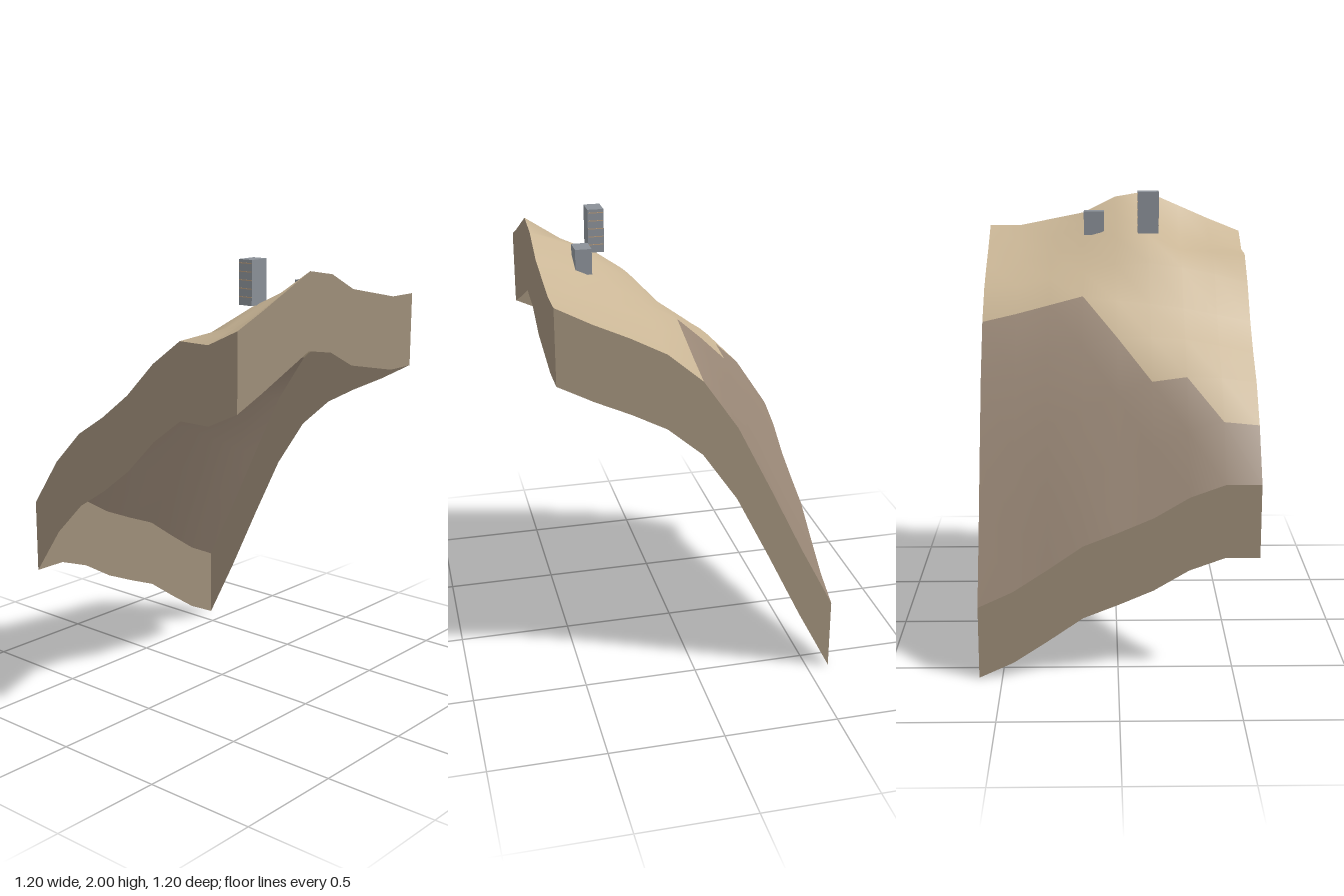
import * as THREE from 'three';

// Terrain heights: one row per z from back to front, nine columns from x = -0.6 to 0.6
const N = 8, STEP = 0.15, HALF = 0.6, SKIRT = 0.325;
const HEIGHTS = [
  [0.33, 0.62, 0.93, 1.23, 1.45, 1.58, 1.66, 1.73, 1.81],
  [0.40, 0.68, 0.98, 1.27, 1.485, 1.59, 1.67, 1.74, 1.81],
  [0.50, 0.77, 1.05, 1.32, 1.525, 1.62, 1.70, 1.77, 1.84],
  [0.605, 0.86, 1.12, 1.37, 1.565, 1.65, 1.75, 1.82, 1.87],
  [0.665, 0.92, 1.18, 1.41, 1.545, 1.68, 1.79, 1.89, 1.945],
  [0.73, 0.98, 1.245, 1.41, 1.53, 1.69, 1.80, 1.87, 1.97],
  [0.82, 1.06, 1.265, 1.40, 1.51, 1.67, 1.73, 1.77, 1.905],
  [0.875, 1.105, 1.26, 1.37, 1.48, 1.64, 1.72, 1.74, 1.84],
  [0.875, 1.09, 1.24, 1.335, 1.45, 1.60, 1.71, 1.71, 1.78],
];
// Column where the steep rock ends, for each row
const ROCK_EDGE = [4, 4, 4, 4, 3, 2, 2, 1, 1];

const point = (i, j) => [i * STEP - HALF, HEIGHTS[j][i], j * STEP - HALF];

function indexed(positions, index) {
  const geometry = new THREE.BufferGeometry();
  geometry.setAttribute('position', new THREE.Float32BufferAttribute(positions, 3));
  geometry.setIndex(index);
  geometry.computeVertexNormals();
  return geometry;
}

// Smooth surface with a group for rock and a group for sand
function surfaceGeometry() {
  const positions = [], rock = [], sand = [];
  for (let j = 0; j <= N; j++) for (let i = 0; i <= N; i++) positions.push(...point(i, j));
  const id = (i, j) => j * (N + 1) + i;
  for (let j = 0; j < N; j++) {
    for (let i = 0; i < N; i++) {
      const near = i + 1 <= ROCK_EDGE[j] && i <= ROCK_EDGE[j + 1];
      const far = near && i + 1 <= ROCK_EDGE[j + 1];
      (near ? rock : sand).push(id(i, j), id(i, j + 1), id(i + 1, j));
      (far ? rock : sand).push(id(i, j + 1), id(i + 1, j + 1), id(i + 1, j));
    }
  }
  const geometry = indexed(positions, [...rock, ...sand]);
  geometry.addGroup(0, rock.length, 0);
  geometry.addGroup(rock.length, sand.length, 1);
  return geometry;
}

// Vertical band hanging from one border of the surface
function skirtGeometry(border) {
  const positions = [], index = [];
  for (let k = 0; k <= N; k++) {
    const [x, y, z] = border(k);
    positions.push(x, y, z, x, y - SKIRT, z);
    if (k < N) {
      const a = k * 2;
      index.push(a, a + 1, a + 2, a + 1, a + 3, a + 2);
    }
  }
  return indexed(positions, index);
}

export function createModel() {
  const model = new THREE.Group();
  const material = (name, color, side = THREE.FrontSide) => {
    const m = new THREE.MeshStandardMaterial({ color, side });
    m.name = name;
    return m;
  };
  const rock = material('brown rock', 0x9a8877, THREE.DoubleSide);
  const sand = material('tan sand', 0xcab696, THREE.DoubleSide);
  const earth = material('earth wall', 0x9e8e79, THREE.DoubleSide);
  const stone = material('grey stone', 0x8a9097);
  const mortar = material('tan mortar', 0xb59a7c);

  const add = (parent, name, geometry, mat, x = 0, y = 0, z = 0) => {
    const mesh = new THREE.Mesh(geometry, mat);
    mesh.name = name;
    mesh.position.set(x, y, z);
    parent.add(mesh);
  };

  add(model, 'hillside', surfaceGeometry(), [rock, sand]);

  // Borders run so that every wall faces outward
  const borders = {
    frontWall: (k) => point(k, N),
    backWall: (k) => point(N - k, 0),
    leftWall: (k) => point(N, N - k),
    rightWall: (k) => point(0, k),
  };
  for (const [name, border] of Object.entries(borders)) add(model, name, skirtGeometry(border), earth);

  // Stone blocks standing on the hill
  const block = (name, x, z, base, top) => {
    const group = new THREE.Group();
    group.name = name;
    add(group, 'stoneBlock', new THREE.BoxGeometry(0.07, top - base, 0.095), stone, x, (base + top) / 2, z);
    model.add(group);
    return group;
  };
  const tall = block('tallBlock', 0.3, 0.15, 1.81, 2);
  block('shortBlock', 0.4, -0.1, 1.79, 1.9);

  // Thin mortar courses on the tall block
  for (let y = 1.845; y < 1.99; y += 0.035) {
    add(tall, 'mortarCourse', new THREE.BoxGeometry(0.066, 0.004, 0.097), mortar, 0.3, y, 0.15);
  }
  return model;
}
